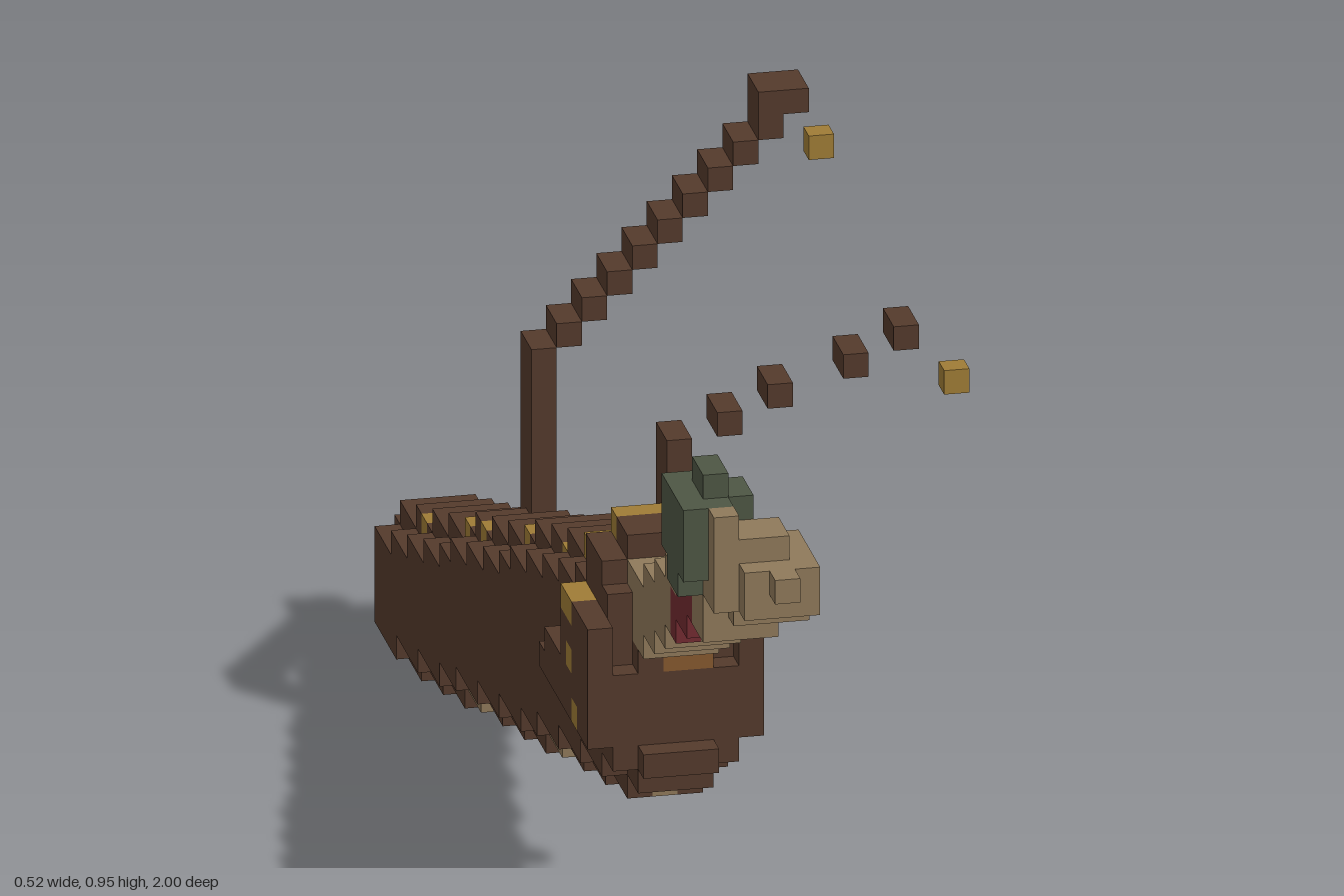
import * as THREE from 'three';

const U = 2 / 61;                 // edge of one cube
const material = (name, color) => {
  const m = new THREE.MeshStandardMaterial({ color });
  m.name = name;
  return m;
};

// The six faces of a cube: outward normal and two edge directions (a x b = n)
const FACES = [
  [[1, 0, 0], [0, 1, 0], [0, 0, 1]], [[-1, 0, 0], [0, 0, 1], [0, 1, 0]],
  [[0, 1, 0], [0, 0, 1], [1, 0, 0]], [[0, -1, 0], [1, 0, 0], [0, 0, 1]],
  [[0, 0, 1], [1, 0, 0], [0, 1, 0]], [[0, 0, -1], [0, 1, 0], [1, 0, 0]],
];

export function createModel() {
  const mats = {
    brown: material('darkWood', 0x543a2c),
    tan: material('paleTan', 0x8f795a),
    gold: material('gold', 0x9f7c36),
    green: material('greyGreen', 0x4e5644),
    red: material('wineRed', 0x722b31),
    copper: material('copper', 0x85582f),
  };
  const cells = new Map();

  // Fill a block of cubes; i runs along x, j along y, k along z
  const fill = (part, mat, [i0, i1], [j0, j1], [k0, k1]) => {
    for (let i = i0; i <= i1; i++)
      for (let j = j0; j <= j1; j++)
        for (let k = k0; k <= k1; k++) cells.set(`${i},${j},${k}`, { part, mat, p: [i, j, k] });
  };

  // Body: sloping beam, thicker toward the front, with narrow ridge and keel
  const bottom = k => Math.floor((k - 1) * 0.268);
  const top = k => (k === 44 ? 16 : k === 43 ? 19 : k >= 40 ? 20 : 5 + Math.floor((k - 1) * 0.36));
  const keelTan = { 2: [3], 3: [2, 3, 4], 5: [3], 6: [3], 7: [2, 4], 9: [3], 10: [3] };
  fill('body', 'brown', [2, 4], [3, 4], [0, 0]);
  for (let k = 1; k <= 44; k++) {
    const b = bottom(k), t = top(k);
    fill('body', 'brown', [2, 4], [b, t], [k, k]);
    fill('body', 'brown', [1, 5], [b + 1, t - 1], [k, k]);
    for (const i of keelTan[b] || []) fill('keelInlay', 'tan', [i, i], [b, b], [k, k]);
  }
  fill('body', 'brown', [2, 4], [12, 12], [45, 45]);

  // Gold bars and studs along the ridge
  for (const k of [5, 13, 16, 24, 31, 35]) fill('ridgeBar', 'gold', [2, 4], [top(k), top(k)], [k, k]);
  for (const k of [20, 28]) fill('ridgeStud', 'gold', [3, 3], [top(k), top(k)], [k, k]);
  for (const k of [39, 40]) fill('ridgeBar', 'gold', [2, 3], [top(k), top(k)], [k, k]);

  // Side cheeks with gold studs
  for (const i of [0, 6]) {
    fill('cheek', 'brown', [i, i], [13, 17], [40, 44]);
    fill('cheek', 'brown', [i, i], [13, 14], [37, 39]);
    fill('cheek', 'brown', [i, i], [13, 13], [36, 36]);
    fill('cheekStud', 'gold', [i, i], [17, 17], [40, 41]);
    fill('cheekStud', 'gold', [i, i], [15, 15], [41, 41]);
    fill('cheekStud', 'gold', [i, i], [13, 13], [42, 42]);
  }

  // Neck rising forward, with a red wrap
  for (let k = 42; k <= 56; k++) {
    const c = Math.floor(18.5 + (k - 44) * 0.45);
    fill('neck', 'tan', [2, 4], [c - 1, c + 1], [k, k]);
    if (k >= 51 && k <= 54) {
      fill('wrap', 'red', [3, 4], [c, c + 1], [k, k]);
      fill('wrap', 'red', [2, 2], [c - 1, c], [k, k]);
    }
  }
  fill('neckSocket', 'copper', [3, 4], [16, 16], [44, 44]);

  // Head and green crest
  fill('head', 'tan', [3, 5], [23, 25], [56, 57]);
  fill('head', 'tan', [3, 5], [24, 25], [58, 59]);
  fill('head', 'tan', [3, 4], [26, 26], [57, 58]);
  fill('head', 'tan', [4, 4], [25, 25], [60, 60]);
  fill('crest', 'green', [1, 1], [25, 27], [54, 57]);
  fill('crest', 'green', [1, 1], [24, 24], [55, 56]);
  fill('crest', 'green', [2, 2], [25, 27], [54, 57]);
  fill('crest', 'green', [2, 2], [28, 28], [55, 56]);
  fill('crest', 'green', [3, 3], [26, 27], [55, 56]);
  fill('head', 'tan', [2, 2], [24, 26], [57, 58]);
  fill('head', 'tan', [2, 2], [27, 27], [58, 58]);

  // Rear post and its stepped arm
  fill('rearPost', 'brown', [4, 4], [10, 17], [14, 15]);
  for (let i = 5; i <= 13; i++) fill('rearArm', 'brown', [i, i], [i + 13, i + 13], [14, 15]);
  fill('rearArm', 'brown', [13, 14], [27, 27], [14, 15]);
  fill('rearArmTip', 'gold', [15, 15], [25, 25], [15, 15]);

  // Front post and its broken arm
  fill('frontPost', 'brown', [4, 4], [19, 23], [39, 40]);
  [[6, 24], [8, 25], [11, 26], [13, 27]].forEach(([i, j]) =>
    fill('frontArm', 'brown', [i, i], [j, j], [39, 40]));
  fill('frontArmTip', 'gold', [15, 15], [25, 25], [40, 40]);

  // Turn the exposed cube faces of each part into one mesh
  const parts = new Map();
  for (const { part, mat, p } of cells.values()) {
    if (!parts.has(part)) parts.set(part, { mat, pos: [], nor: [] });
    const { pos, nor } = parts.get(part);
    for (const [n, a, b] of FACES) {
      if (cells.has(p.map((v, d) => v + n[d]).join())) continue;
      for (const [s, t] of [[0, 0], [1, 0], [1, 1], [0, 0], [1, 1], [0, 1]]) {
        const v = p.map((q, d) => q + Math.max(n[d], 0) + s * a[d] + t * b[d]);
        pos.push((v[0] - 8) * U, v[1] * U, (v[2] - 30.5) * U);
        nor.push(...n);
      }
    }
  }
  const group = new THREE.Group();
  group.name = 'model';
  for (const [name, { mat, pos, nor }] of parts) {
    const g = new THREE.BufferGeometry();
    g.setAttribute('position', new THREE.Float32BufferAttribute(pos, 3));
    g.setAttribute('normal', new THREE.Float32BufferAttribute(nor, 3));
    const mesh = new THREE.Mesh(g, mats[mat]);
    mesh.name = name;
    group.add(mesh);
  }
  return group;
}
